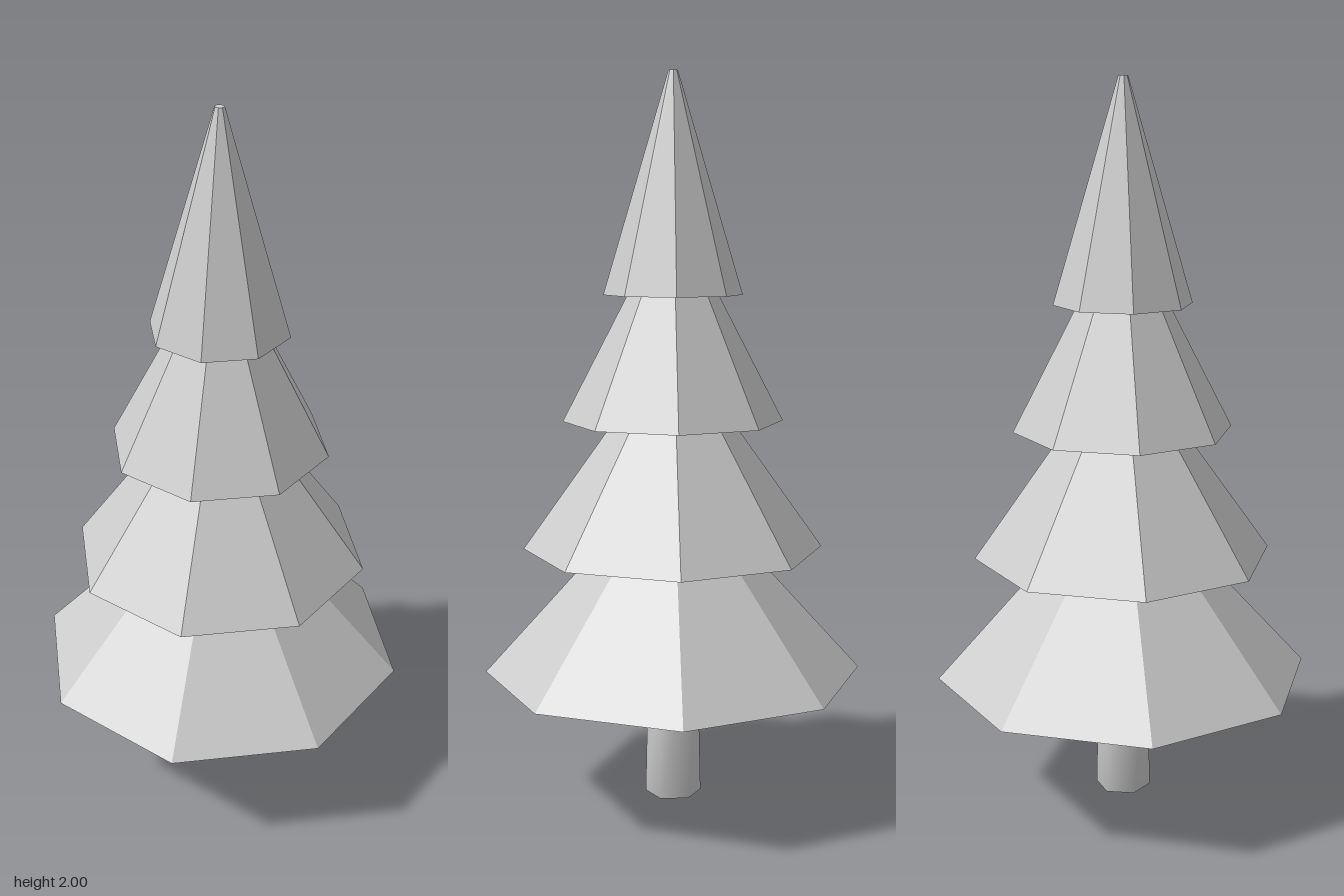
import * as THREE from 'three';
import { mergeVertices } from 'three/addons/utils/BufferGeometryUtils.js';

export function createModel() {
  const tree = new THREE.Group();
  tree.name = 'pineTree';

  // Tapered six-sided trunk, shaded smoothly across its end
  const trunkHeight = 0.36;
  let trunkGeometry = new THREE.CylinderGeometry(0.07, 0.078, trunkHeight, 6);
  trunkGeometry.deleteAttribute('normal');
  trunkGeometry.deleteAttribute('uv');
  trunkGeometry = mergeVertices(trunkGeometry);
  trunkGeometry.computeVertexNormals();
  const trunk = new THREE.Mesh(trunkGeometry, new THREE.MeshStandardMaterial({ color: 0xcccccc }));
  trunk.name = 'trunk';
  trunk.position.y = trunkHeight / 2;
  tree.add(trunk);

  // Four overlapping eight-sided foliage tiers: [bottom y, bottom radius, height]
  const foliage = new THREE.MeshStandardMaterial({ color: 0xcccccc, flatShading: true });
  const tiers = [
    [0.355, 0.525, 0.565],
    [0.705, 0.415, 0.565],
    [1.06, 0.303, 0.56],
    [1.405, 0.19, 0.595],
  ];
  tiers.forEach(([y, radius, height], i) => {
    const tier = new THREE.Mesh(new THREE.CylinderGeometry(0.013, radius, height, 8), foliage);
    tier.name = `foliageTier${i + 1}`;
    tier.position.y = y + height / 2;
    tree.add(tier);
  });

  return tree;
}
